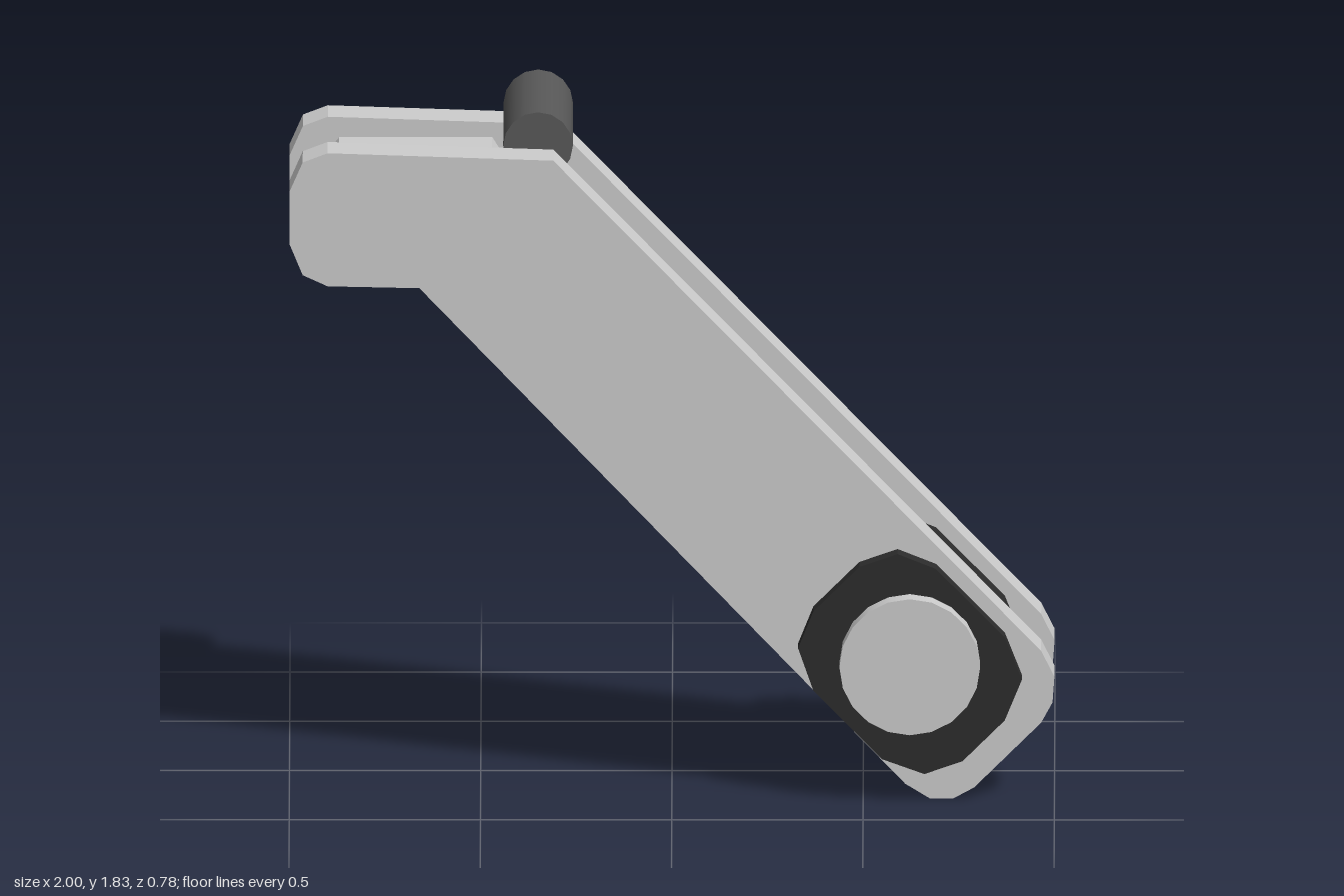
import * as THREE from 'three';

const material = (color, extra = {}) =>
  new THREE.MeshStandardMaterial({ color, ...extra });

export function createModel() {
  const model = new THREE.Group();
  const grey = material(0xcccccc, { flatShading: true });
  const smoothGrey = material(0xcccccc);
  const black = material(0x2b2b2b, { flatShading: true });
  const capBlack = material(0x141414, { flatShading: true });
  const steel = material(0x585858);
  const openSteel = material(0x585858, { side: THREE.DoubleSide });

  function add(name, geometry, mat) {
    const mesh = new THREE.Mesh(geometry, mat);
    mesh.name = name;
    model.add(mesh);
    return mesh;
  }

  // Flat outline in x/y, extruded between two depths
  function slab(name, points, z0, z1, mat) {
    const shape = new THREE.Shape(points.map(([x, y]) => new THREE.Vector2(x, y)));
    const geometry = new THREE.ExtrudeGeometry(shape, { depth: z1 - z0, bevelEnabled: false });
    geometry.translate(0, 0, z0);
    return add(name, geometry, mat);
  }

  // Cylinder running from point a to point b
  function rod(name, a, b, radius, sides, mat, open = false) {
    const start = new THREE.Vector3(...a), end = new THREE.Vector3(...b);
    const axis = end.clone().sub(start);
    const geometry = new THREE.CylinderGeometry(radius, radius, axis.length(), sides, 1, open);
    const mesh = add(name, geometry, mat);
    mesh.position.copy(start).add(end).multiplyScalar(0.5);
    mesh.quaternion.setFromUnitVectors(new THREE.Vector3(0, 1, 0), axis.normalize());
    return mesh;
  }

  // Pair of bent side plates
  const plate = [
    [-1, 1.64], [-0.965, 1.72], [-0.9, 1.745], [-0.31, 1.725],
    [0.965, 0.4], [1, 0.33], [0.995, 0.26], [0.965, 0.205],
    [0.79, 0.03], [0.735, 0], [0.675, 0], [0.61, 0.04],
    [-0.66, 1.38], [-0.9, 1.385], [-0.965, 1.415], [-1, 1.5],
  ];
  slab('frontPlate', plate, 0.168, 0.283, grey);
  slab('backPlate', plate, -0.205, -0.088, grey);

  // Spacer held between the plates at the hooked end
  slab('hookSpacer', [
    [-0.91, 1.64], [-0.87, 1.69], [-0.47, 1.69], [-0.445, 1.65], [-0.36, 1.46],
    [-0.38, 1.4], [-0.66, 1.4], [-0.84, 1.45], [-0.9, 1.52],
  ], -0.088, 0.168, grey);

  // Pivot block and the pin through it
  slab('pivotBlock', [
    [0.33, 0.42], [0.37, 0.52], [0.49, 0.64], [0.59, 0.675], [0.69, 0.635],
    [0.87, 0.45], [0.915, 0.335], [0.87, 0.225], [0.76, 0.115],
    [0.66, 0.08], [0.55, 0.12], [0.37, 0.305],
  ], -0.26, 0.335, black);
  rod('pivotPin', [0.622, 0.383, -0.39], [0.622, 0.383, 0.388], 0.184, 20, smoothGrey);

  // Inner piston running along the arm
  rod('pistonRod', [-0.3, 1.35, 0.043], [0.55, 0.47, 0.043], 0.08, 16, steel);
  rod('pistonCollar', [-0.47, 1.52, 0.043], [-0.23, 1.27, 0.043], 0.115, 10, capBlack);

  // Cross tube on top, closed at the front and open at the back
  rod('crossTube', [-0.35, 1.735, -0.265], [-0.35, 1.735, 0.17], 0.091, 16, openSteel, true);
  add('crossTubeEnd', new THREE.CircleGeometry(0.091, 16), openSteel)
    .position.set(-0.35, 1.735, 0.17);

  return model;
}
